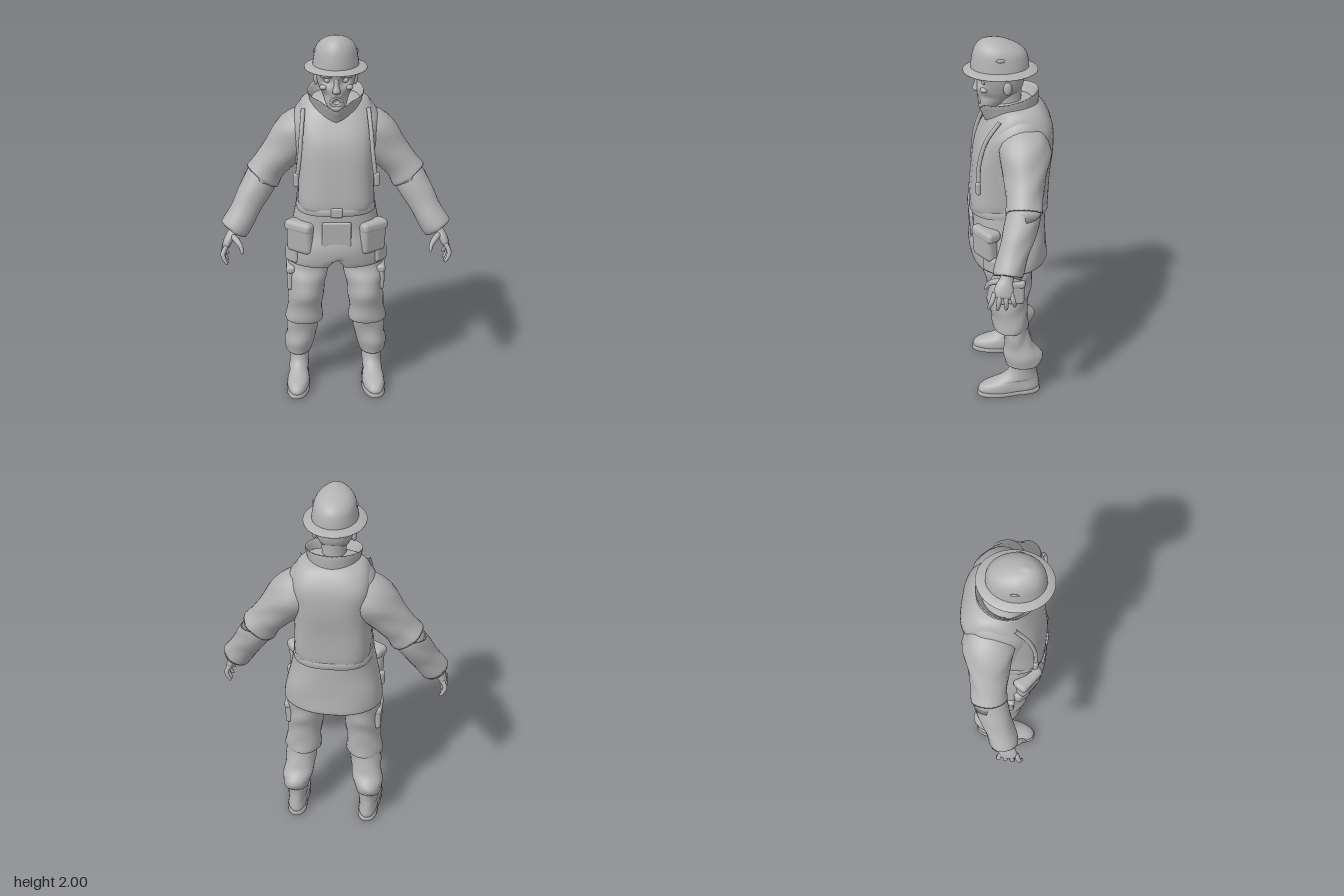
import * as THREE from 'three';
import { RoundedBoxGeometry } from 'three/addons/geometries/RoundedBoxGeometry.js';

// Smooth skin through sections [x, y, z, rx, rz, squareness]; rings lie flat, or across the path
function loft(sections, { seg = 24, sub = 4, flat = true, rule } = {}) {
  const last = sections.length - 1, rings = [];
  const at = (i, k) => sections[Math.max(0, Math.min(last, i))][k] ?? 2;
  for (let i = 0; i <= last; i++) {
    for (let s = 0; s < (i < last ? sub : 1); s++) {
      const t = s / sub;
      rings.push([0, 1, 2, 3, 4, 5].map(k => {
        const a = at(i - 1, k), b = at(i, k), c = at(i + 1, k), d = at(i + 2, k);
        return b + 0.5 * t * (c - a + t * (2 * a - 5 * b + 4 * c - d + t * (3 * (b - c) + d - a)));
      }));
    }
  }
  const pos = [], idx = [], fwd = new THREE.Vector3(0, 0, 1);
  const centre = r => new THREE.Vector3(r[0], r[1], r[2]);
  rings.forEach((r, i) => {
    const c = centre(r), t = new THREE.Vector3(0, 1, 0);
    if (!flat) {
      t.subVectors(centre(rings[Math.min(i + 1, rings.length - 1)]), centre(rings[Math.max(i - 1, 0)])).normalize();
    }
    const a = t.clone().cross(fwd).normalize(), b = a.clone().cross(t);
    for (let j = 0; j < seg; j++) {
      const th = j / seg * Math.PI * 2, co = Math.cos(th), si = Math.sin(th);
      const p = c.clone()
        .addScaledVector(a, Math.sign(co) * Math.abs(co) ** (2 / r[5]) * r[3])
        .addScaledVector(b, Math.sign(si) * Math.abs(si) ** (2 / r[5]) * r[4]);
      if (rule) rule(p, c, th);
      pos.push(p.x, p.y, p.z);
    }
  });
  const n = rings.length;
  for (let i = 0; i < n - 1; i++) {
    for (let j = 0; j < seg; j++) {
      const k = (j + 1) % seg, a = i * seg + j, b = i * seg + k;
      idx.push(a, a + seg, b, b, a + seg, b + seg);
    }
  }
  // End caps
  const e = n * seg;
  pos.push(...rings[0].slice(0, 3), ...rings[n - 1].slice(0, 3));
  for (let j = 0; j < seg; j++) {
    const k = (j + 1) % seg;
    idx.push(e, j, k, e + 1, e - seg + k, e - seg + j);
  }
  const g = new THREE.BufferGeometry();
  g.setAttribute('position', new THREE.Float32BufferAttribute(pos, 3));
  g.setIndex(idx);
  g.computeVertexNormals();
  return g;
}

// Cloth folds: push points in and out around the section centre
const folds = (amp, f = 38) => (p, c, th) => {
  const k = 1 + amp * Math.sin(p.y * f + 2.2 * Math.sin(th) + 1.5 * Math.cos(2 * th)) + amp * 0.6 * Math.sin(3 * th + p.y * 17);
  p.x = c.x + (p.x - c.x) * k;
  p.z = c.z + (p.z - c.z) * k;
};

export function createModel() {
  const model = new THREE.Group();
  const grey = new THREE.MeshStandardMaterial({ color: 0xb2b2b2 });
  grey.name = 'grey';
  const add = (name, geo) => {
    const m = new THREE.Mesh(geo, grey);
    m.name = name;
    model.add(m);
  };
  const pair = (name, geo) => {
    add(name + 'Left', geo);
    const g = geo.clone().scale(-1, 1, 1);
    if (g.index) {
      const ix = g.index.array;
      for (let i = 0; i < ix.length; i += 3) [ix[i], ix[i + 1]] = [ix[i + 1], ix[i]];
    } else {
      for (const at of Object.values(g.attributes)) {
        const s = at.itemSize, arr = at.array;
        for (let i = 0; i < arr.length; i += 3 * s) {
          for (let k = 0; k < s; k++) [arr[i + k], arr[i + s + k]] = [arr[i + s + k], arr[i + k]];
        }
      }
    }
    add(name + 'Right', g);
  };
  const box = (w, h, d, x, y, z, ry = 0, rx = 0) =>
    new RoundedBoxGeometry(w, h, d, 2, Math.min(w, h, d) * 0.4).rotateX(rx).rotateY(ry).translate(x, y, z);
  const ball = (x, y, z, a, b, c) => new THREE.SphereGeometry(1, 16, 12).scale(a, b, c).translate(x, y, z);

  // Jacket with hollow hem and a slit at the front
  const cloth = folds(0.012, 24);
  add('jacket', loft([
    [0, 0.86, 0, 0.2, 0.15, 2.4], [0, 0.81, 0, 0.245, 0.18, 2.4], [0, 0.8, 0, 0.26, 0.2, 2.4],
    [0, 0.9, 0.01, 0.25, 0.205, 2.4], [0, 1.0, 0.005, 0.225, 0.19, 2.4], [0, 1.1, 0.005, 0.205, 0.19, 2.4],
    [0, 1.2, 0, 0.2, 0.19, 2.4], [0, 1.35, -0.01, 0.205, 0.19, 2.4], [0, 1.5, -0.03, 0.225, 0.18, 2.4],
    [0, 1.59, -0.05, 0.205, 0.145, 2.3], [0, 1.645, -0.045, 0.15, 0.1], [0, 1.67, -0.03, 0.08, 0.07],
  ], {
    seg: 48, rule: (p, c, th) => {
      cloth(p, c, th);
      if (p.y < 0.84 && p.z > 0 && Math.abs(p.x) < 0.05) p.y += 0.05 * (1 - Math.abs(p.x) / 0.05);
    },
  }));
  // Vest over the chest, back and shoulders
  add('vest', loft([
    [0, 1.1, 0.005, 0.17, 0.18, 3.4], [0, 1.13, 0.005, 0.198, 0.203, 3.4], [0, 1.3, -0.005, 0.195, 0.2, 3.4],
    [0, 1.45, -0.025, 0.195, 0.196, 3.3], [0, 1.55, -0.045, 0.2, 0.172, 3.2],
    [0, 1.62, -0.05, 0.185, 0.135, 2.8], [0, 1.66, -0.045, 0.145, 0.1, 2.4], [0, 1.675, -0.04, 0.06, 0.06],
  ], { seg: 48, rule: folds(0.008, 18) }));
  // Collar, open at the throat and high at the nape
  add('collar', loft([
    [0, 1.6, -0.02, 0.13, 0.125], [0, 1.65, -0.01, 0.132, 0.138], [0, 1.695, 0, 0.143, 0.148],
    [0, 1.69, 0, 0.132, 0.137], [0, 1.58, 0, 0.085, 0.09],
  ], {
    seg: 40, sub: 2, rule: p => {
      p.y -= 0.2 * p.z;
      if (p.z > 0 && Math.abs(p.x) < 0.08) p.y -= 0.045 * (1 - Math.abs(p.x) / 0.08);
    },
  }));

  // Belt, buckle, front flap and pockets
  add('belt', loft([
    [0, 1.085, 0.005, 0.2, 0.19, 2.8], [0, 1.09, 0.005, 0.208, 0.205, 2.8],
    [0, 1.125, 0.005, 0.206, 0.205, 2.8], [0, 1.13, 0.005, 0.195, 0.19, 2.8],
  ], { seg: 48, sub: 1 }));
  add('buckle', box(0.06, 0.05, 0.02, 0, 1.11, 0.208));
  add('frontFlap', box(0.15, 0.17, 0.02, 0, 0.97, 0.2, 0, 0.04));
  pair('hipPocket', box(0.15, 0.16, 0.07, 0.185, 0.945, 0.14, 0.6, 0.06));
  pair('hipPocketFlap', box(0.16, 0.06, 0.085, 0.187, 1.01, 0.135, 0.6, -0.06));
  pair('sidePocket', box(0.09, 0.09, 0.05, 0.225, 0.845, 0.11, 0.8));

  // Hanging cords and buckles along the vest edge
  const cord = new THREE.CatmullRomCurve3([[0.165, 1.62, 0.06], [0.175, 1.52, 0.13], [0.185, 1.4, 0.165],
    [0.195, 1.32, 0.17], [0.205, 1.25, 0.17]].map(p => new THREE.Vector3(...p)));
  pair('cord', new THREE.TubeGeometry(cord, 20, 0.011, 8));
  pair('cordToggle', box(0.03, 0.07, 0.025, 0.205, 1.28, 0.172, 0.3));

  // Sleeves in two overlapping pieces
  pair('upperSleeve', loft([
    [0.1, 1.54, -0.06, 0.085, 0.1], [0.19, 1.465, -0.06, 0.118, 0.13], [0.28, 1.36, -0.055, 0.102, 0.105],
    [0.345, 1.28, -0.045, 0.09, 0.09], [0.385, 1.225, -0.04, 0.097, 0.093], [0.38, 1.235, -0.04, 0.07, 0.07],
  ], { flat: false, rule: folds(0.03) }));
  pair('forearmSleeve', loft([
    [0.34, 1.3, -0.05, 0.06, 0.06], [0.38, 1.23, -0.042, 0.084, 0.084], [0.425, 1.15, -0.015, 0.083, 0.082],
    [0.475, 1.06, 0.02, 0.076, 0.076], [0.525, 0.975, 0.05, 0.078, 0.074], [0.53, 0.967, 0.052, 0.07, 0.066],
    [0.515, 0.992, 0.044, 0.05, 0.05],
  ], { flat: false, rule: folds(0.025) }));

  // Hands with curled fingers
  pair('palm', loft([
    [0.505, 1.01, 0.04, 0.032, 0.036], [0.54, 0.95, 0.06, 0.026, 0.034], [0.562, 0.915, 0.073, 0.024, 0.046],
    [0.577, 0.88, 0.08, 0.02, 0.05], [0.58, 0.867, 0.083, 0.012, 0.042],
  ], { flat: false, seg: 16 }));
  for (let i = 0; i < 4; i++) {
    const z = 0.042 + i * 0.027, d = (i - 1.2) * 0.012, low = [0.015, 0, 0, 0.012][i];
    pair('finger' + (i + 1), loft([
      [0.572, 0.895, z, 0.012, 0.012], [0.59, 0.86, z + d * 0.6, 0.0125, 0.0125],
      [0.588, 0.825 + low, z + d, 0.011, 0.011], [0.573, 0.797 + low, z + d * 1.3, 0.008, 0.008],
      [0.568, 0.79 + low, z + d * 1.4, 0.003, 0.003],
    ], { flat: false, seg: 10, sub: 3 }));
  }
  pair('thumb', loft([
    [0.548, 0.94, 0.08, 0.014, 0.014], [0.518, 0.925, 0.118, 0.016, 0.016], [0.496, 0.9, 0.145, 0.012, 0.012],
    [0.49, 0.872, 0.16, 0.008, 0.008], [0.491, 0.865, 0.162, 0.003, 0.003],
  ], { flat: false, seg: 10, sub: 3 }));

  // Trousers: baggy thigh to the torn knee, then a bunched shin
  pair('trouserThigh', loft([
    [0.17, 0.47, 0, 0.07, 0.07], [0.17, 0.42, 0.005, 0.088, 0.082], [0.17, 0.425, 0.005, 0.1, 0.096],
    [0.165, 0.52, 0.015, 0.094, 0.1], [0.158, 0.6, 0.018, 0.096, 0.112], [0.152, 0.67, 0.008, 0.1, 0.112],
    [0.145, 0.74, -0.01, 0.11, 0.1], [0.125, 0.84, -0.01, 0.122, 0.12], [0.11, 0.93, -0.01, 0.1, 0.1],
  ], { rule: folds(0.03, 45) }));
  pair('trouserShin', loft([
    [0.205, 0.24, -0.06, 0.05, 0.06], [0.205, 0.2, -0.058, 0.064, 0.084], [0.205, 0.195, -0.058, 0.074, 0.094],
    [0.2, 0.25, -0.06, 0.08, 0.105], [0.188, 0.31, -0.035, 0.084, 0.08], [0.18, 0.38, -0.02, 0.084, 0.068],
    [0.17, 0.48, 0, 0.08, 0.075], [0.165, 0.55, 0.01, 0.06, 0.06],
  ], { rule: folds(0.035, 50) }));
  pair('thighPocket', box(0.04, 0.13, 0.13, 0.24, 0.67, 0.005, 0, 0));
  pair('thighPocketFlap', box(0.05, 0.045, 0.14, 0.24, 0.725, 0.005));

  // Boots, slightly turned out
  const splay = p => { p.x += 0.06 * (p.z - 0.02) * (p.z > 0 ? 1 : 0.5); if (p.y < 0.1) p.x = 0.205 + (p.x - 0.205) * (1 - 0.16 * Math.exp(-(((p.z + 0.03) / 0.05) ** 2))); };
  pair('boot', loft([
    [0.205, 0.015, 0.02, 0.058, 0.165], [0.205, 0.04, 0.02, 0.063, 0.17, 2.3], [0.205, 0.07, 0.008, 0.06, 0.155, 2.2],
    [0.205, 0.1, -0.03, 0.054, 0.112], [0.203, 0.14, -0.055, 0.053, 0.08], [0.203, 0.2, -0.065, 0.056, 0.072],
    [0.203, 0.26, -0.06, 0.05, 0.065],
  ], { seg: 28, rule: splay }));
  pair('sole', loft([
    [0.205, 0, 0.02, 0.058, 0.166, 2.4], [0.205, 0.005, 0.02, 0.066, 0.175, 2.4],
    [0.205, 0.024, 0.02, 0.066, 0.175, 2.4], [0.205, 0.028, 0.02, 0.058, 0.165, 2.4],
  ], { seg: 28, sub: 1, rule: splay }));

  // Gaunt head with sunken eyes, hollow cheeks and an open mouth
  const dent = (p, x, y, r, d) => {
    p.z -= d * Math.exp(-(((Math.abs(p.x) - x) ** 2 + (p.y - y) ** 2) / (r * r)));
  };
  add('neck', loft([[0, 1.54, -0.02, 0.09, 0.08], [0, 1.64, 0, 0.062, 0.064], [0, 1.76, 0.01, 0.066, 0.075]]));
  add('head', loft([
    [0, 1.622, 0.115, 0.022, 0.025], [0, 1.645, 0.105, 0.045, 0.052], [0, 1.69, 0.075, 0.064, 0.085, 2.2],
    [0, 1.74, 0.05, 0.086, 0.112, 2.3], [0, 1.79, 0.045, 0.1, 0.122, 2.3], [0, 1.84, 0.045, 0.104, 0.126, 2.2],
    [0, 1.88, 0.045, 0.08, 0.1],
  ], {
    seg: 48, sub: 6, rule: p => {
      if (p.z < 0.06) return;
      dent(p, 0.045, 1.785, 0.024, 0.035);
      dent(p, 0.058, 1.705, 0.022, 0.02);
      dent(p, 0, 1.675, 0.02, 0.03);
    },
  }));
  pair('eye', ball(0.044, 1.785, 0.126, 0.016, 0.014, 0.014));
  pair('brow', ball(0.045, 1.812, 0.148, 0.035, 0.01, 0.018));
  pair('cheekbone', ball(0.062, 1.75, 0.128, 0.022, 0.014, 0.02));
  pair('ear', ball(0.098, 1.765, 0.015, 0.013, 0.034, 0.022));
  add('nose', loft([
    [0, 1.722, 0.155, 0.012, 0.01], [0, 1.735, 0.162, 0.021, 0.021], [0, 1.765, 0.158, 0.013, 0.016],
    [0, 1.81, 0.15, 0.012, 0.014],
  ], { seg: 14 }));
  add('lips', new THREE.TorusGeometry(0.024, 0.007, 8, 24).scale(1.1, 0.85, 1).rotateX(0.2).translate(0, 1.678, 0.148));

  // Domed helmet with a wide thin brim
  const taper = p => { if (p.y > 1.87) p.y -= 0.1 * Math.max(0, 0.05 - p.z) * (p.y - 1.87) / 0.1; };
  add('helmetBrim', loft([
    [0, 1.855, 0.045, 0.1, 0.13], [0, 1.829, 0.042, 0.157, 0.186], [0, 1.835, 0.042, 0.158, 0.187],
    [0, 1.852, 0.045, 0.11, 0.14],
  ], { seg: 40, sub: 1 }));
  add('helmetCrown', loft([
    [0, 1.838, 0.045, 0.118, 0.146], [0, 1.88, 0.045, 0.112, 0.143], [0, 1.93, 0.047, 0.102, 0.132],
    [0, 1.963, 0.055, 0.082, 0.108], [0, 1.985, 0.072, 0.05, 0.07], [0, 1.995, 0.09, 0.02, 0.03],
    [0, 2, 0.095, 0.006, 0.01],
  ], { seg: 32, rule: taper }));
  pair('helmetVent', ball(0.106, 1.915, 0.05, 0.006, 0.01, 0.022));
  return model;
}
